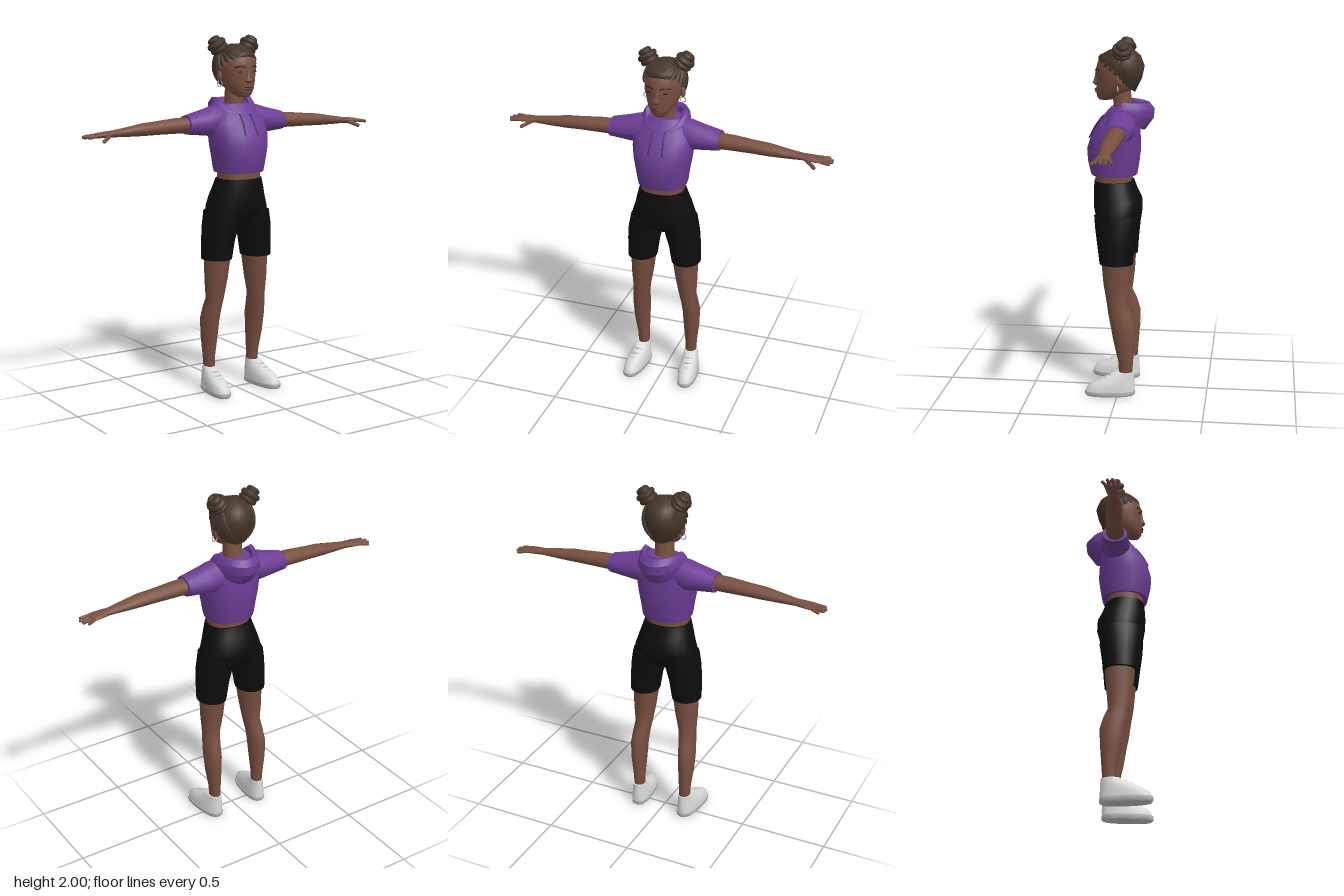
import * as THREE from 'three';
import { toCreasedNormals } from 'three/addons/utils/BufferGeometryUtils.js';

const paint = (name, color) => {
  const m = new THREE.MeshStandardMaterial({ color });
  m.name = name;
  return m;
};
const V = (x, y, z) => new THREE.Vector3(x, y, z);

// Skin closed rings along an axis. Row: [t, a, b, ra, rb+, rb-, power, dt+, dt-]
// y axis: a = x, b = z.  x axis: a = z, b = y.
function loft(rows, { axis = 'y', n = 20, crease = 0.9 } = {}) {
  const pos = [], idx = [];
  const put = (t, a, b) => (axis === 'y' ? pos.push(a, t, b) : pos.push(t, b, a));
  const bend = (v, p) => Math.sign(v) * Math.abs(v) ** p;
  for (const [t, a, b, ra, rp, rm = rp, pow = 1, dp = 0, dm = 0] of rows) {
    for (let j = 0; j < n; j++) {
      const w = (j / n) * Math.PI * 2;
      const c = bend(Math.cos(w), pow), s = bend(Math.sin(w), pow);
      put(t + (s > 0 ? dp * s : -dm * s), a + ra * c, b + (s > 0 ? rp : rm) * s);
    }
  }
  const last = rows.length - 1, first = rows.length * n;
  put(rows[0][0], rows[0][1], rows[0][2]);
  put(rows[last][0], rows[last][1], rows[last][2]);
  for (let j = 0; j < n; j++) {
    const k = (j + 1) % n;
    for (let i = 0; i < last; i++) {
      const p = i * n, q = p + n;
      idx.push(p + j, q + j, p + k, p + k, q + j, q + k);
    }
    idx.push(first, j, k, first + 1, last * n + k, last * n + j);
  }
  const g = new THREE.BufferGeometry();
  g.setAttribute('position', new THREE.Float32BufferAttribute(pos, 3));
  g.setIndex(idx);
  return toCreasedNormals(g, crease);
}

// Mirror a geometry across x, keeping faces outward
function mirrored(geo) {
  const g = geo.index ? geo.toNonIndexed() : geo.clone();
  for (const key of ['position', 'normal']) {
    const at = g.attributes[key];
    for (let i = 0; i < at.count; i += 3) {
      const v = [0, 2, 1].map((k) => V().fromBufferAttribute(at, i + k));
      v.forEach((p, k) => at.setXYZ(i + k, -p.x, p.y, p.z));
    }
  }
  return g;
}

const tube = (pts, r, seg = 12) =>
  new THREE.TubeGeometry(new THREE.CatmullRomCurve3(pts), seg, r, 6);

const ball = (x, y, z, rx, ry, rz) =>
  new THREE.SphereGeometry(1, 14, 10).scale(rx, ry, rz).translate(x, y, z);

// Rounded rod between two points
function rod(a, b, r) {
  const d = b.clone().sub(a), mid = a.clone().add(b).multiplyScalar(0.5);
  const q = new THREE.Quaternion().setFromUnitVectors(V(0, 1, 0), d.clone().normalize());
  return new THREE.CapsuleGeometry(r, d.length(), 3, 8).applyQuaternion(q).translate(mid.x, mid.y, mid.z);
}

export function createModel() {
  const skin = paint('skin', 0x784f3f), lip = paint('lips', 0x5e382e), dark = paint('lashes', 0x33221b);
  const hair = paint('hair', 0x44352a), purple = paint('purple cloth', 0x6c3d96);
  const cord = paint('dark purple cord', 0x3b2156), black = paint('black cloth', 0x0d0d0e);
  const white = paint('shoe white', 0xdadada), grey = paint('sole grey', 0xc2c2c2);
  const silver = paint('silver', 0xb4b4b4);

  const model = new THREE.Group();
  const add = (name, geo, mat) => {
    const m = new THREE.Mesh(geo, mat);
    m.name = name;
    model.add(m);
  };
  const pair = (name, geo, mat) => {
    add(name + 'Left', geo, mat);
    add(name + 'Right', mirrored(geo), mat);
  };

  // Head and neck
  add('head', loft([
    [1.664, 0, 0.09, 0.028, 0.03, 0.04], [1.682, 0, 0.07, 0.05, 0.062, 0.07],
    [1.71, 0, 0.04, 0.074, 0.096, 0.09], [1.75, 0, 0.02, 0.09, 0.115, 0.11],
    [1.79, 0, 0.02, 0.097, 0.114, 0.125], [1.83, 0, 0.01, 0.104, 0.127, 0.12],
    [1.87, 0, 0, 0.104, 0.127, 0.115], [1.905, 0, 0, 0.09, 0.108, 0.1], [1.935, 0, 0, 0.05, 0.06, 0.06],
  ], { n: 24, crease: 1.2 }), skin);
  add('neck', loft([[1.55, 0, -0.02, 0.065, 0.06], [1.62, 0, -0.012, 0.053, 0.052],
    [1.73, 0, -0.005, 0.054, 0.05]]), skin);
  add('nose', loft([[1.742, 0, 0.128, 0.016, 0.014, 0.01], [1.755, 0, 0.128, 0.023, 0.028, 0.01],
    [1.785, 0, 0.126, 0.012, 0.019, 0.01], [1.825, 0, 0.126, 0.01, 0.012, 0.01]], { n: 10 }), skin);
  add('upperLip', ball(0, 1.72, 0.133, 0.026, 0.006, 0.011), lip);
  add('lowerLip', ball(0, 1.709, 0.131, 0.022, 0.007, 0.012), lip);
  pair('eye', ball(0.042, 1.803, 0.122, 0.02, 0.005, 0.006), dark);
  pair('brow', tube([V(0.018, 1.826, 0.136), V(0.045, 1.833, 0.125), V(0.07, 1.825, 0.104)], 0.004), dark);
  pair('ear', ball(0.102, 1.775, 0, 0.012, 0.032, 0.02), skin);
  pair('earring', new THREE.TorusGeometry(0.015, 0.003, 6, 16).translate(0.103, 1.735, 0.005), silver);

  // Hair: scalp cap, braids swept up to two coiled buns
  add('hairCap', loft([
    [1.80, 0, -0.01, 0.105, 0.132, 0.07, 1, 0.085, -0.09],
    [1.825, 0, -0.005, 0.109, 0.126, 0.112, 1, 0.075, -0.04],
    [1.86, 0, -0.005, 0.109, 0.117, 0.127, 1, 0.05, -0.01],
    [1.905, 0, -0.005, 0.09, 0.1, 0.106, 1, 0.012], [1.935, 0, -0.005, 0.06, 0.069, 0.071],
    [1.952, 0, -0.005, 0.02, 0.02],
  ], { n: 24, crease: 1.2 }), hair);
  const mid = V(0, 1.83, -0.005), radii = V(0.109, 0.122, 0.126), bunBase = V(0.075, 1.925, -0.02);
  for (let k = 0; k < 12; k++) {
    const w = Math.PI * (0.47 - (k / 11) * 0.94), s = Math.sin(w);
    const root = V(0.106 * Math.cos(w), 1.80 + (s > 0 ? 0.085 : 0.09) * s, s > 0 ? 0.125 * s : 0.08 * s);
    const pts = [];
    for (let i = 0; i <= 6; i++) {
      const d = root.clone().lerp(bunBase, i / 6).sub(mid).divide(radii).normalize();
      pts.push(d.multiply(radii).add(mid));
    }
    pair('braid' + k, tube(pts, 0.012), hair);
  }
  const bunAxis = V(0.55, 0.8, -0.1).normalize();
  const bunTurn = new THREE.Quaternion().setFromUnitVectors(V(0, 0, 1), bunAxis);
  pair('bunCore', ball(0.105, 1.945, -0.02, 0.043, 0.043, 0.043), hair);
  [[-0.024, 0.036], [0.004, 0.039], [0.03, 0.021]].forEach(([h, r], i) => {
    const c = bunAxis.clone().multiplyScalar(h).add(V(0.105, 1.945, -0.02));
    pair('bunCoil' + i, new THREE.TorusGeometry(r, 0.0165, 8, 18).applyQuaternion(bunTurn).translate(c.x, c.y, c.z), hair);
  });

  // Cropped hooded top
  add('hoodieBody', loft([
    [1.25, 0, 0.03, 0.134, 0.132, 0.122, 0.85], [1.268, 0, 0.03, 0.138, 0.138, 0.126, 0.85],
    [1.33, 0, 0.03, 0.146, 0.152, 0.136, 0.85], [1.395, 0, 0.03, 0.158, 0.156, 0.144, 0.85],
    [1.465, 0, 0.02, 0.168, 0.145, 0.13, 0.85], [1.53, 0, 0, 0.166, 0.125, 0.108, 0.85],
    [1.585, 0, -0.01, 0.14, 0.098, 0.092], [1.625, 0, -0.015, 0.1, 0.068, 0.07],
  ], { crease: 0.6 }), purple);
  pair('sleeve', loft([
    [0.08, -0.015, 1.535, 0.075, 0.09, 0.07], [0.14, -0.015, 1.53, 0.084, 0.086, 0.085],
    [0.2, -0.015, 1.522, 0.08, 0.076, 0.068], [0.312, -0.014, 1.518, 0.069, 0.052, 0.053],
  ], { axis: 'x', n: 14, crease: 0.6 }), purple);
  add('hood', loft([
    [1.6, 0, -0.02, 0.128, 0.125, 0.115, 1, -0.05, -0.1],
    [1.622, 0, -0.02, 0.132, 0.122, 0.163, 1, -0.055, -0.055],
    [1.642, 0, -0.02, 0.124, 0.114, 0.168, 1, -0.065, -0.025],
    [1.662, 0, -0.02, 0.112, 0.1, 0.14, 1, -0.08, -0.012],
    [1.655, 0, -0.02, 0.09, 0.082, 0.118, 1, -0.085, -0.02],
    [1.635, 0, -0.02, 0.088, 0.076, 0.11, 1, -0.075, -0.035],
    [1.6, 0, -0.02, 0.06, 0.05, 0.055, 1, -0.04, 0],
  ], { n: 24, crease: 0.5 }), purple);
  pair('drawstring', tube([V(0.034, 1.572, 0.1), V(0.035, 1.525, 0.134), V(0.04, 1.455, 0.171)], 0.0045), cord);

  // Bare waist and shorts
  add('waist', loft([[1.19, 0, 0.035, 0.122, 0.105, 0.1, 0.9], [1.28, 0, 0.035, 0.122, 0.105, 0.1, 0.9]]), skin);
  add('shortsHips', loft([
    [0.965, 0, 0.01, 0.185, 0.085, 0.085], [1.0, 0, 0.01, 0.19, 0.125, 0.115, 0.9],
    [1.06, 0, 0.01, 0.177, 0.137, 0.132, 0.9], [1.11, 0, 0.015, 0.16, 0.135, 0.135, 0.9],
    [1.16, 0, 0.025, 0.146, 0.125, 0.12, 0.9], [1.215, 0, 0.035, 0.13, 0.11, 0.11, 0.9],
  ], { n: 24 }), black);
  pair('shortsLeg', loft([
    [0.765, 0.13, 0.01, 0.083, 0.094, 0.094], [0.87, 0.121, 0.01, 0.09, 0.108, 0.102],
    [0.95, 0.107, 0.012, 0.098, 0.118, 0.113], [1.03, 0.1, 0.012, 0.088, 0.125, 0.125],
  ]), black);

  // Legs
  pair('leg', loft([
    [0.1, 0.145, -0.045, 0.031, 0.036], [0.2, 0.148, -0.045, 0.034, 0.042, 0.043],
    [0.31, 0.152, -0.038, 0.044, 0.06, 0.058], [0.41, 0.152, -0.03, 0.048, 0.07, 0.07],
    [0.48, 0.147, -0.012, 0.047, 0.066, 0.068], [0.54, 0.139, 0.003, 0.049, 0.06, 0.056],
    [0.65, 0.132, 0.005, 0.062, 0.077, 0.072], [0.79, 0.123, 0.008, 0.073, 0.088, 0.085],
  ], { n: 14 }), skin);

  // Shoes, toes turned slightly out
  const place = (g) => g.rotateY(0.11).translate(0.154, 0, 0);
  pair('shoeSole', place(loft([[0, 0, 0.042, 0.05, 0.135, 0.134, 0.8], [0.008, 0, 0.042, 0.056, 0.142, 0.141, 0.8],
    [0.028, 0, 0.042, 0.056, 0.142, 0.141, 0.8]])), grey);
  pair('shoeUpper', place(loft([
    [0.026, 0, 0.042, 0.053, 0.138, 0.138, 0.8], [0.055, 0, 0.035, 0.053, 0.135, 0.132, 0.85],
    [0.08, 0, 0.01, 0.049, 0.122, 0.105, 0.9], [0.105, 0, -0.025, 0.043, 0.1, 0.069],
    [0.137, 0, -0.043, 0.037, 0.058, 0.05],
  ])), white);
  for (let i = 0; i < 3; i++) {
    const y = 0.09 + i * 0.016, z = 0.103 - i * 0.03;
    const half = 0.022;
    pair('lace' + i, place(tube([V(-half, y - 0.007, z - 0.008), V(0, y, z), V(half, y - 0.007, z - 0.008)], 0.005)), grey);
  }

  // Arms and hands
  pair('arm', loft([
    [0.25, -0.012, 1.517, 0.052, 0.044, 0.044], [0.38, -0.012, 1.515, 0.05, 0.043, 0.041],
    [0.5, -0.01, 1.51, 0.044, 0.037, 0.036], [0.58, -0.008, 1.507, 0.045, 0.034, 0.034],
    [0.68, -0.008, 1.5, 0.036, 0.024, 0.026], [0.76, -0.01, 1.494, 0.028, 0.018, 0.018],
    [0.8, -0.01, 1.492, 0.036, 0.017, 0.017], [0.845, -0.012, 1.49, 0.042, 0.014, 0.014],
    [0.872, -0.013, 1.488, 0.039, 0.009, 0.009],
  ], { axis: 'x', n: 14 }), skin);
  [[-0.044, -0.06, 0.898], [-0.024, -0.034, 0.917], [-0.003, -0.008, 0.921], [0.017, 0.02, 0.908]].forEach(([z0, z1, x], i) =>
    pair('finger' + i, rod(V(0.858, 1.489, z0), V(x, 1.483, z1), 0.0088), skin));
  pair('thumb', rod(V(0.79, 1.485, 0.012), V(0.836, 1.463, 0.045), 0.0105), skin);

  return model;
}
